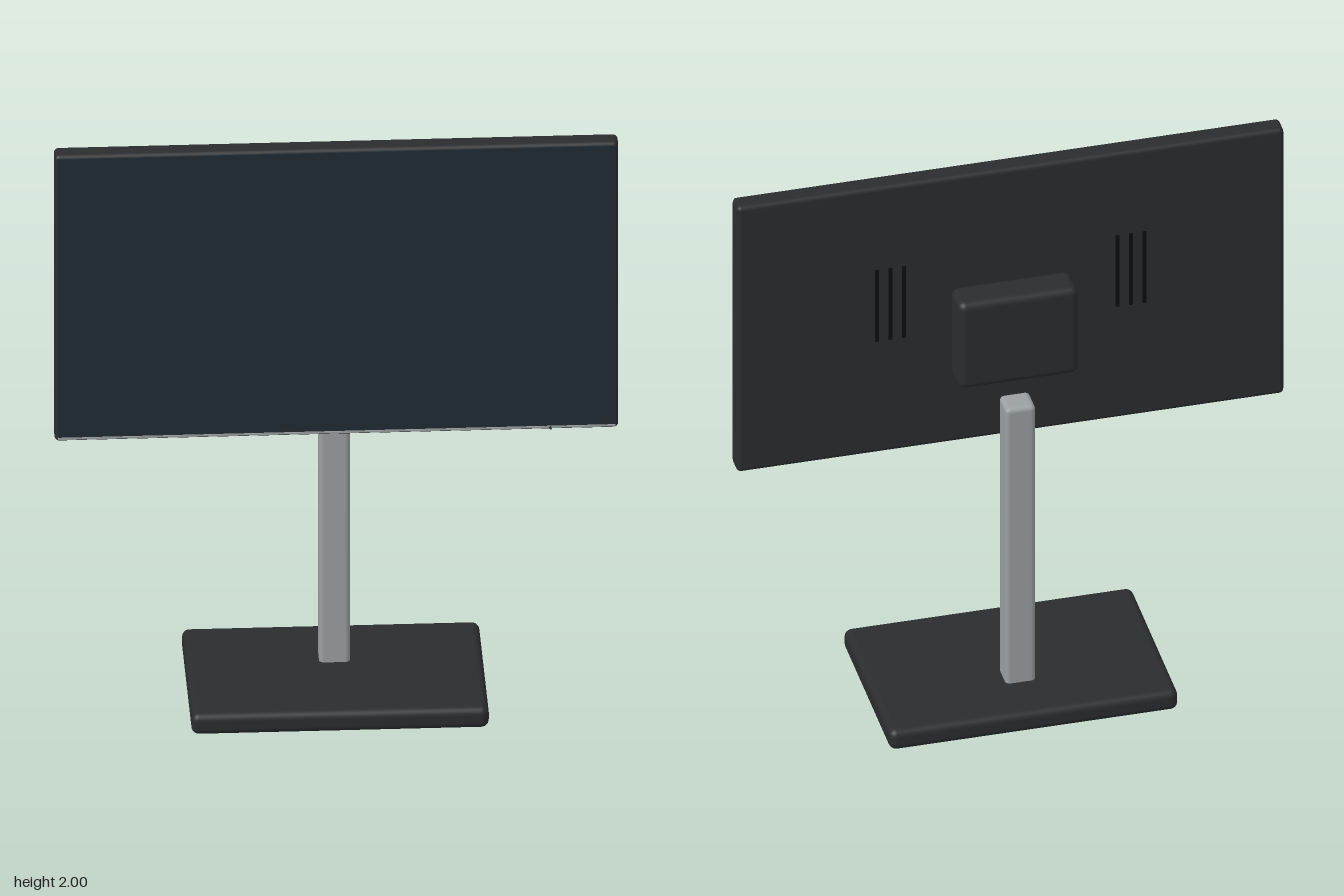
import * as THREE from 'three';
import { RoundedBoxGeometry } from 'three/addons/geometries/RoundedBoxGeometry.js';

const paint = (color) => new THREE.MeshStandardMaterial({ color });

export function createModel() {
  const group = new THREE.Group();
  const plastic = paint(0x2b2c2e);
  const black = paint(0x0c0d0e);
  const glass = paint(0x1f2b32);
  const metal = paint(0x9a9fa1);

  // Box given by its lower and upper corners; a radius rounds the edges.
  function box(name, material, [x0, y0, z0], [x1, y1, z1], radius = 0) {
    const size = [x1 - x0, y1 - y0, z1 - z0];
    const geometry = radius
      ? new RoundedBoxGeometry(...size, 3, radius)
      : new THREE.BoxGeometry(...size);
    const mesh = new THREE.Mesh(geometry, material);
    mesh.name = name;
    mesh.position.set((x0 + x1) / 2, (y0 + y1) / 2, (z0 + z1) / 2);
    group.add(mesh);
    return mesh;
  }

  // Stand
  box('base', plastic, [-0.48, 0, -0.31], [0.48, 0.075, 0.31], 0.025);
  box('column', metal, [-0.05, 0.06, -0.132], [0.05, 1.15, -0.038], 0.016);

  // Display housing, screen and mounting block
  box('housing', plastic, [-0.91, 0.96, 0.002], [0.91, 2, 0.074], 0.016);
  box('screen', glass, [-0.9, 0.98, 0.066], [0.9, 1.99, 0.077]);
  box('mountBlock', plastic, [-0.2, 1.235, -0.11], [0.2, 1.57, 0.01], 0.026);

  // Trim strip under the screen, with a small power light
  box('trimStrip', metal, [-0.9, 0.969, 0.066], [0.9, 0.976, 0.077]);
  const light = new THREE.Mesh(new THREE.CylinderGeometry(0.004, 0.004, 0.015, 12), plastic);
  light.name = 'powerLight';
  light.rotation.x = Math.PI / 2;
  light.position.set(0.69, 0.972, 0.078);
  group.add(light);

  // Three vent slots on each side of the back
  for (const side of [-1, 1]) {
    for (const offset of [-0.045, 0, 0.045]) {
      const x = side * 0.4 + offset;
      box('ventSlot', black, [x - 0.006, 1.4, -0.001], [x + 0.006, 1.68, 0.006]);
    }
  }

  return group;
}
